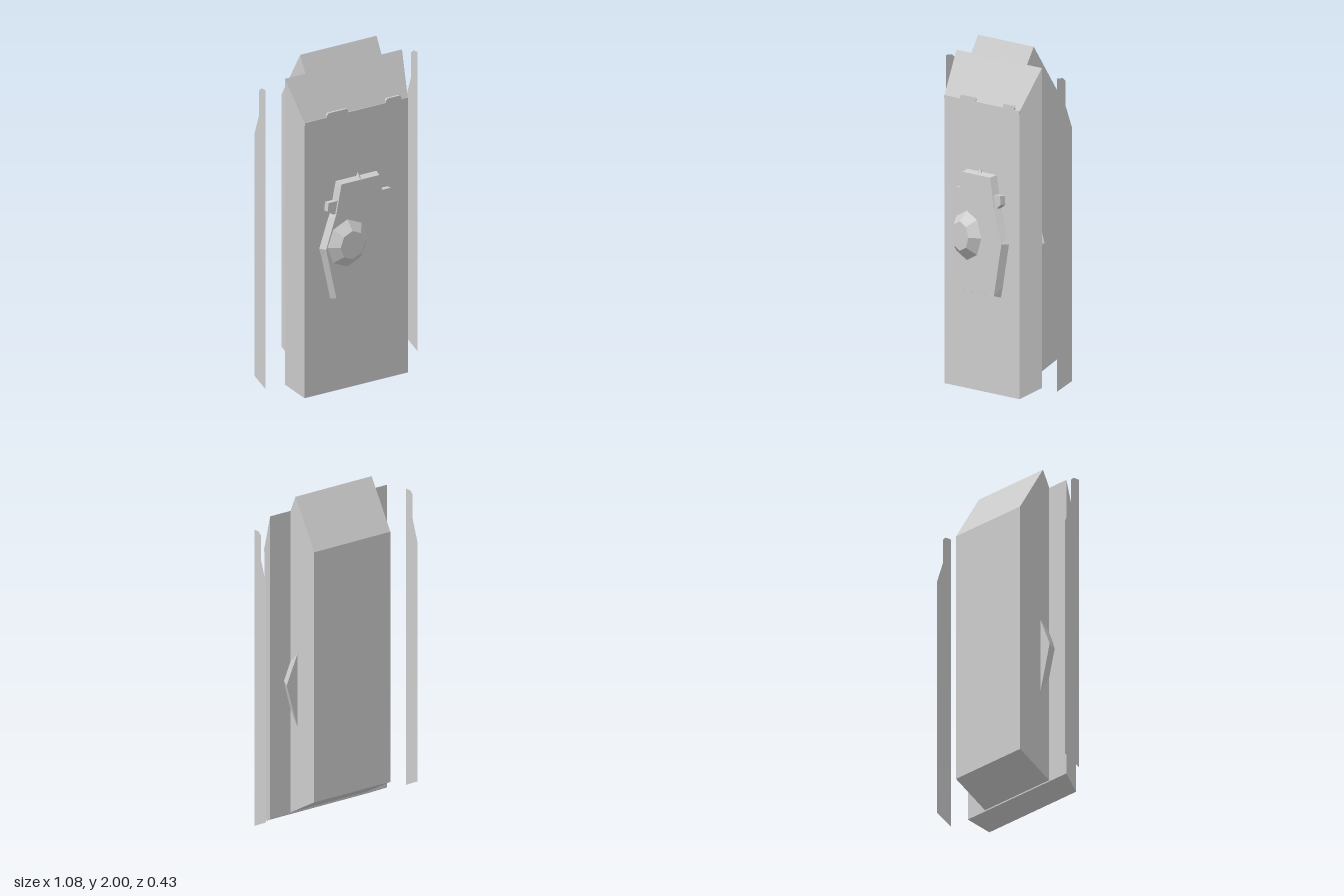
import * as THREE from 'three';

const material = new THREE.MeshStandardMaterial({ color: 0xcccccc, flatShading: true, side: THREE.DoubleSide });

function shapeOf(points) {
  return new THREE.Shape(points.map(([x, y]) => new THREE.Vector2(x, y)));
}

// Right half of an outline, bottom to top, completed by its mirror image.
function mirrored(half) {
  return [...half, ...half.map(([x, y]) => [-x, y]).reverse()];
}

// Prism along z from z0 to z1; rule(x, y) places the corners at the z0 end.
function prism(points, z0, z1, rule = (x, y) => [x, y]) {
  const g = new THREE.ExtrudeGeometry(shapeOf(points), { depth: z1 - z0, bevelEnabled: false });
  const p = g.attributes.position;
  for (let i = 0; i < p.count; i++) {
    const atBack = p.getZ(i) < (z1 - z0) / 2;
    const [x, y] = atBack ? rule(p.getX(i), p.getY(i)) : [p.getX(i), p.getY(i)];
    p.setXYZ(i, x, y, atBack ? z0 : z1);
  }
  g.computeVertexNormals();
  return g;
}

export function createModel() {
  const model = new THREE.Group();
  model.name = 'armouredVehicle';
  const add = (name, geometry, parent = model) => {
    const mesh = new THREE.Mesh(geometry, material);
    mesh.name = name;
    parent.add(mesh);
    return mesh;
  };

  // Upper hull: flares outward toward its lower edge, sloped at both ends
  add('upperHull', prism(mirrored([[0.368, 0], [0.368, 1.655]]), 0.007, 0.127,
    (x, y) => [Math.sign(x) * 0.418, y < 1 ? 0.06 : 1.9]));

  // Lower hull: side profile (z, y) extruded across the width
  const profile = [[0.012, 0.065], [0.012, 1.89], [-0.04, 2.0], [-0.215, 1.715], [-0.215, 0.195]];
  const lower = new THREE.ExtrudeGeometry(shapeOf(profile.map(([z, y]) => [-z, y])),
    { depth: 0.544, bevelEnabled: false });
  lower.translate(0, 0, -0.272).rotateY(Math.PI / 2);
  add('lowerHull', lower);

  // Lip and two low covers along the top of the sloped front plate
  const lip = new THREE.BoxGeometry(0.735, 0.018, 0.012);
  lip.translate(0, 1.648, 0.125);
  add('frontPlateLip', lip);
  for (const [x, width] of [[-0.135, 0.15], [0.265, 0.11]]) {
    const w = width / 2;
    const cover = prism([[-w, 1.65], [-w + 0.02, 1.637], [w - 0.02, 1.637], [w, 1.65],
      [w, 1.668], [w - 0.01, 1.68], [-w + 0.01, 1.68], [-w, 1.668]], 0.1, 0.131);
    add('hatchCover', cover).position.x = x;
  }

  // Turret: faceted outline widening downward through the hull
  const turret = new THREE.Group();
  turret.name = 'turret';
  model.add(turret);
  add('turretBody', prism(mirrored([[0.172, 0.572], [0.245, 0.878], [0.172, 1.075], [0.135, 1.248]]),
    -0.06, 0.167, (x, y) => [x * 1.43, 0.88 + (y - 0.88) * 1.2]), turret);

  // Small blocks on the turret cheeks
  for (const s of [-1, 1]) {
    const outline = [[0.14, 1.085], [0.185, 1.075], [0.228, 1.102], [0.222, 1.152], [0.14, 1.152]];
    add('turretCheekBlock', prism(outline.map(([x, y]) => [s * x, y]), 0.11, 0.16), turret);
  }

  // Pointed bump on the turret front
  const bump = new THREE.ConeGeometry(0.027, 0.045, 4);
  bump.translate(0, 1.265, 0.142);
  add('turretFrontBump', bump, turret);

  // Eight-sided cupola
  const cupola = new THREE.CylinderGeometry(0.085, 0.143, 0.05, 8);
  cupola.rotateX(Math.PI / 2);
  add('cupola', cupola, turret).position.set(-0.093, 0.888, 0.191);

  // Thin side panels, set apart from the hull
  const panel = [[-0.01, 0.053], [-0.115, 0.105], [-0.115, 1.56], [-0.07, 1.69],
    [-0.07, 1.835], [-0.05, 1.853], [-0.01, 1.853]];
  for (const s of [-1, 1]) {
    const g = new THREE.ShapeGeometry(shapeOf(panel.map(([z, y]) => [-s * z, y])));
    g.rotateY(s * Math.PI / 2);
    add(s > 0 ? 'leftSidePanel' : 'rightSidePanel', g).position.x = s * 0.542;
  }

  return model;
}
